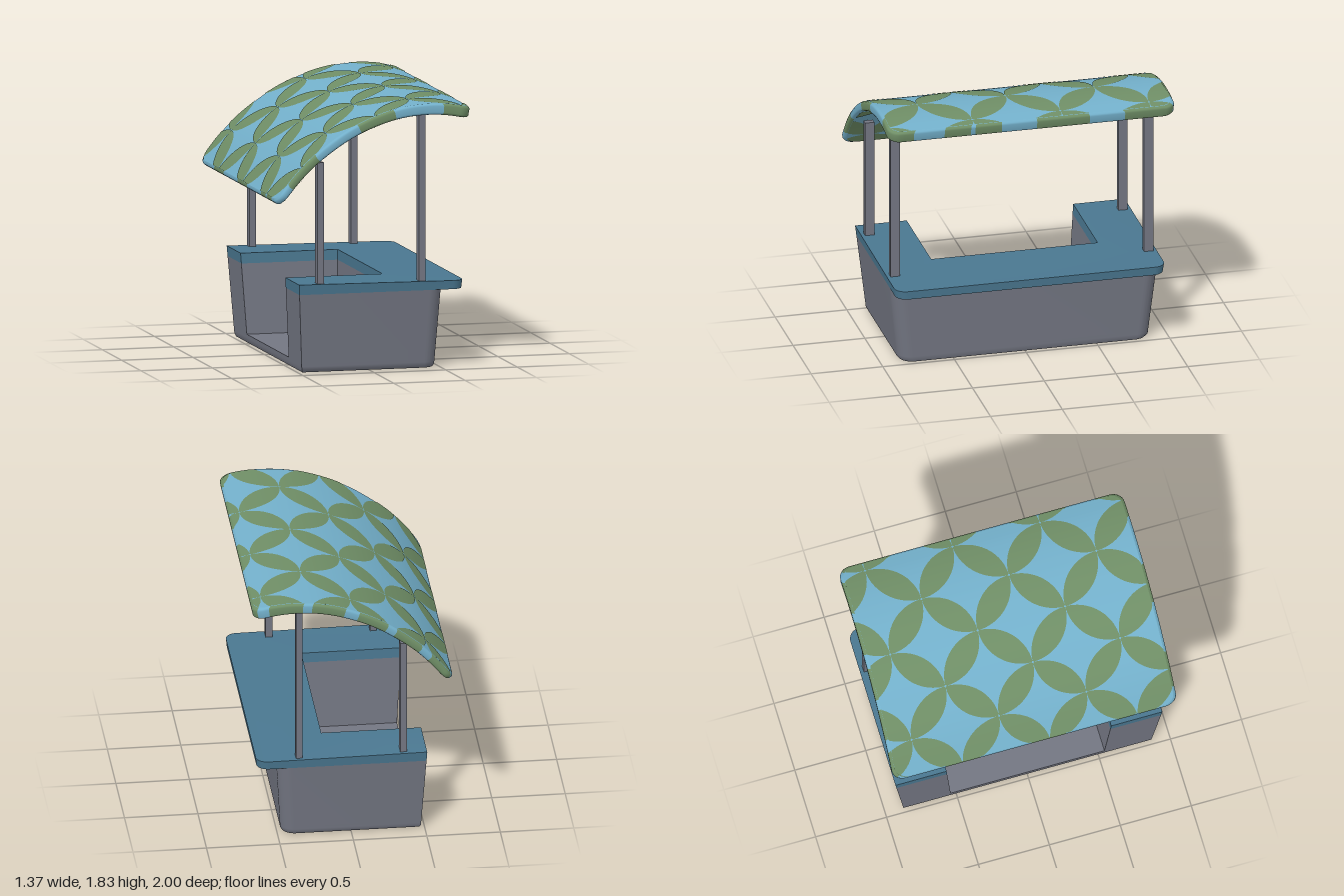
import * as THREE from 'three';
import { mergeGeometries, toCreasedNormals } from 'three/addons/utils/BufferGeometryUtils.js';

const mat = (name, color) => {
  const m = new THREE.MeshStandardMaterial({ color });
  m.name = name;
  return m;
};
const clamp = THREE.MathUtils.clamp, lerp = THREE.MathUtils.lerp;

// Grid surface from fn(i, j); cells where isSecond(i, j) holds use the second material.
function sheet(ni, nj, fn, isSecond) {
  const pos = [], first = [], second = [];
  for (let i = 0; i <= ni; i++) for (let j = 0; j <= nj; j++) pos.push(...fn(i, j));
  for (let i = 0; i < ni; i++) for (let j = 0; j < nj; j++) {
    const a = i * (nj + 1) + j, d = a + 1, b = a + nj + 1, c = b + 1;
    (isSecond && isSecond(i, j) ? second : first).push(a, d, b, b, d, c);
  }
  const g = new THREE.BufferGeometry();
  g.setAttribute('position', new THREE.Float32BufferAttribute(pos, 3));
  g.setIndex([...first, ...second]);
  if (isSecond) {
    g.addGroup(0, first.length, 0);
    g.addGroup(first.length, second.length, 1);
  }
  g.computeVertexNormals();
  return g;
}

// ---- Stall body: plan outlines drawn in (x, z), rounded at the serving side ----
const BACK = -0.51, HALF = 0.94;
function plan(xMax, r, notch) {
  const s = new THREE.Shape();
  s.moveTo(BACK, -HALF);
  s.lineTo(xMax - r, -HALF);
  s.absarc(xMax - r, -HALF + r, r, -Math.PI / 2, 0, false);
  s.lineTo(xMax, HALF - r);
  s.absarc(xMax - r, HALF - r, r, 0, Math.PI / 2, false);
  s.lineTo(BACK, HALF);
  if (notch) {
    s.lineTo(BACK, 0.58);
    s.lineTo(0.17, 0.58);
    s.lineTo(0.17, -0.58);
    s.lineTo(BACK, -0.58);
  }
  return s;
}

// Extrude a plan between two heights and taper it towards the ground
function slab(shape, y0, y1, steps, rule) {
  const g = new THREE.ExtrudeGeometry(shape, { depth: y1 - y0, steps, bevelEnabled: false, curveSegments: 10 });
  g.rotateX(Math.PI / 2).translate(0, y1, 0);
  const p = g.attributes.position;
  for (let i = 0; i < p.count; i++) {
    const x = p.getX(i), y = p.getY(i), z = p.getZ(i);
    let k = 0.927 + 0.073 * y / 0.61;
    if (y < 0.001) k -= 0.015; // softened bottom edge
    p.setXYZ(i, x * k, rule ? rule(x, y) : y, z * k);
  }
  return toCreasedNormals(g, 0.7);
}

// ---- Roof: an arched sheet addressed by (u along the arch, z across) ----
const arch = new THREE.CatmullRomCurve3([
  [-0.69, 1.19], [-0.56, 1.355], [-0.43, 1.485], [-0.2, 1.65], [0, 1.745],
  [0.2, 1.803], [0.4, 1.822], [0.55, 1.813], [0.688, 1.787],
].map(([x, y]) => new THREE.Vector3(x, y, 0)));
const U = arch.getLength(), CORNER = 0.08, INSET = 0.02;
const thickness = u => 0.052 + 0.03 * u / U;

function roofPoint(u, z, depth) {
  const f = clamp(u / U, 0, 1), p = arch.getPointAt(f), t = arch.getTangentAt(f);
  return [p.x + t.y * depth, p.y - t.x * depth, z];
}
// Half width at u, with rounded corners, inset by e
function halfWidth(u, e) {
  const d = clamp(Math.min(u - e, U - e - u), 0, CORNER);
  return 1 - e - CORNER + Math.sqrt(CORNER ** 2 - (CORNER - d) ** 2);
}
const ease = f => (1 - Math.cos(Math.PI * f)) / 2;

// Petal lattice: nodes at (u0 + i*H, z0 + j*H) where i + j is even
const H = 0.308;
function inPetal(u, z, u0, z0) {
  let n = 0;
  for (let i = -3; i < 8; i++) for (let j = -6; j < 7; j++)
    if ((i + j) % 2 !== 0 && Math.hypot(u - u0 - i * H, z - z0 - j * H) < H) n++;
  return n > 1;
}
function petals(u0, z0, depthAt, flip) {
  const L = H * Math.SQRT2, list = [], NT = 20, NS = 6;
  for (let i = -2; i < 7; i++) for (let j = -5; j < 6; j++) {
    if ((i + j) % 2 !== 0) continue;
    for (const side of [-1, 1]) {
      const a = u0 + i * H, b = z0 + j * H;
      if (Math.max(a, a + side * H) < 0.03 || Math.min(a, a + side * H) > U - 0.03) continue;
      if (b + H < -0.97 || b > 0.97) continue;
      const du = side / Math.SQRT2, dz = 1 / Math.SQRT2;
      list.push(sheet(NT, NS, (m, n) => {
        const t = L * lerp(0.015, 0.985, m / NT);
        const w = Math.sqrt(H * H - (t - L / 2) ** 2) - L / 2;
        const s = w * (2 * n / NS - 1) * flip;
        const u = clamp(a + du * t - dz * s, INSET, U - INSET);
        const hw = halfWidth(u, INSET);
        return roofPoint(u, clamp(b + dz * t + du * s, -hw, hw), depthAt(u));
      }));
    }
  }
  return mergeGeometries(list);
}

export function createModel() {
  const grey = mat('grey body', 0x737682);
  const teal = mat('dark teal counter', 0x4a7790);
  const blue = mat('light blue canopy', 0x73b0cb);
  const green = mat('leaf green pattern', 0x6f8e66);
  const model = new THREE.Group();
  model.name = 'marketStall';
  const add = (name, geometry, material) => {
    const m = new THREE.Mesh(geometry, material);
    m.name = name;
    model.add(m);
    return m;
  };

  // Body and counter
  add('floor', slab(plan(0.51, 0.1, false), 0, 0.06, 3), grey);
  add('walls', slab(plan(0.51, 0.1, true), 0.06, 0.54, 1), grey);
  add('counter', slab(plan(0.65, 0.08, true), 0.54, 0.61, 1,
    (x, y) => (y > 0.6 && x > 0.4 ? 0.6 : y)), teal);

  // Posts
  for (const [x, top, name] of [[-0.352, 1.437, 'shortPost'], [0.358, 1.745, 'tallPost']])
    for (const z of [-0.883, 0.883])
      add(name, new THREE.BoxGeometry(0.046, top - 0.59, 0.064).translate(x, (top + 0.59) / 2, z), grey);

  // Canopy top and underside
  const N = 100, M = 60;
  const face = (flip, depthAt) => sheet(N, 2, (i, j) => {
    const u = lerp(INSET, U - INSET, ease(i / N));
    return roofPoint(u, (j - 1) * flip * halfWidth(u, INSET), depthAt(u));
  });
  add('canopyTop', face(1, () => 0), blue);
  add('canopyUnderside', face(-1, thickness), blue);

  // Canopy rim: rings from the top edge round to the underside
  const outline = (k, e) => {
    const end = (u, f) => [u, halfWidth(u, e) * (1 - 2 * f)];
    const uAt = f => lerp(e, U - e, ease(f));
    if (k <= N) { const u = uAt(k / N); return [u, halfWidth(u, e)]; }
    if (k <= N + M) return end(U - e, (k - N) / M);
    if (k <= 2 * N + M) { const u = uAt(1 - (k - N - M) / N); return [u, -halfWidth(u, e)]; }
    return end(e, 1 - (k - 2 * N - M) / M);
  };
  const rings = [[INSET, 0, 0], [0.006, 0, 0.006], [0, 0, 0.018], [0, 1, -0.018], [0.006, 1, -0.006], [INSET, 1, 0]];
  const TOP = [0.29, -0.21], UNDER = [0.42, -0.09];
  add('canopyRim', sheet(2 * (N + M), rings.length - 1, (k, j) => {
    const [e, part, shift] = rings[j], [u, z] = outline(k, e);
    return roofPoint(u, z, part * thickness(u) + shift);
  }, k => inPetal(...outline(k + 0.5, 0.01), ...TOP)), [blue, green]);

  // Petal pattern on both faces
  add('topPetals', petals(...TOP, () => -0.003, 1), green);
  add('undersidePetals', petals(...UNDER, u => thickness(u) + 0.003, -1), green);
  return model;
}
